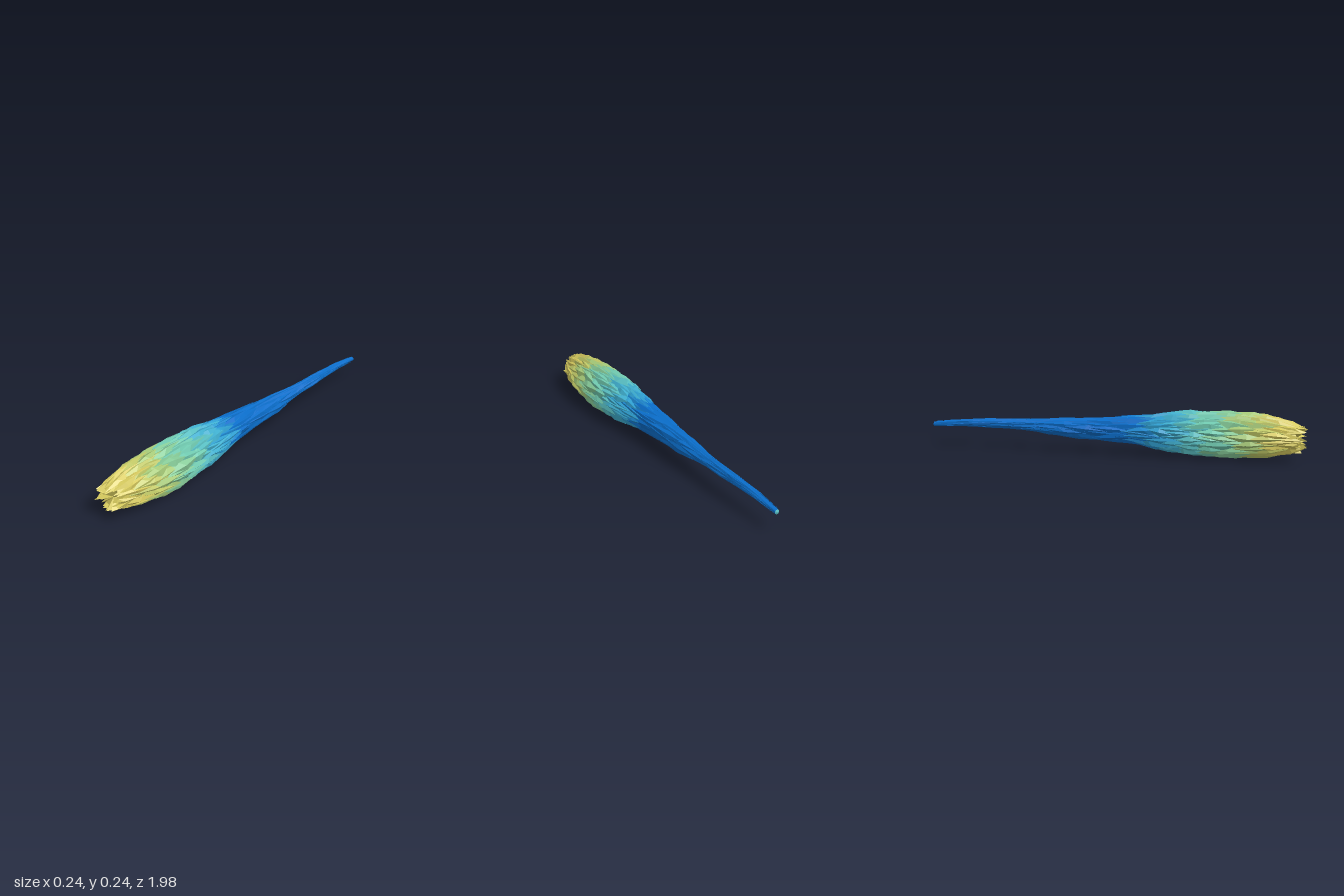
import * as THREE from 'three';

// Colour bands from nose to tail: lower z limit, name, colour
const BANDS = [
  [0.82, 'straw yellow', 0xd6ca5e],
  [0.74, 'olive yellow', 0xc0c866],
  [0.65, 'leaf green', 0xa6ca78],
  [0.56, 'pale green', 0x86cb98],
  [0.46, 'mint', 0x70cab0],
  [0.38, 'aqua', 0x58bec2],
  [0.28, 'cyan', 0x40b0d0],
  [0.21, 'sky blue', 0x2f9fd0],
  [0.14, 'azure', 0x1e88d0],
  [-9, 'deep blue', 0x0a6ecb],
];
const AQUA = 5;

// Spine: z, centre x, centre y, radius
const SPINE = [
  [1.0, -0.015, 0.12, 0.045], [0.95, -0.012, 0.12, 0.066], [0.85, -0.005, 0.122, 0.09],
  [0.75, 0, 0.123, 0.104], [0.6, 0, 0.121, 0.113], [0.4, -0.004, 0.123, 0.106],
  [0.25, -0.006, 0.123, 0.089], [0.12, -0.004, 0.126, 0.067], [0, -0.008, 0.123, 0.06],
  [-0.2, -0.006, 0.123, 0.05], [-0.34, -0.009, 0.126, 0.038], [-0.42, -0.007, 0.13, 0.027],
  [-0.6, -0.005, 0.132, 0.025], [-0.8, -0.014, 0.129, 0.018], [-1.0, -0.015, 0.113, 0.013],
];

function seeded(seed) {
  return () => {
    seed = (seed * 1664525 + 1013904223) % 4294967296;
    return seed / 4294967296;
  };
}

function spineAt(z) {
  let i = 0;
  while (i < SPINE.length - 2 && z < SPINE[i + 1][0]) i++;
  const a = SPINE[i], b = SPINE[i + 1];
  const t = THREE.MathUtils.clamp((a[0] - z) / (a[0] - b[0]), 0, 1);
  return a.map((v, k) => THREE.MathUtils.lerp(v, b[k], t));
}

// Point at a given angle and relative radius around the spine
function around(z, angle, scale) {
  const [, cx, cy, r] = spineAt(z);
  return [cx + Math.cos(angle) * r * scale, cy + Math.sin(angle) * r * scale, z];
}

const bandAt = (z) => BANDS.findIndex((b) => z >= b[0]);

export function createModel() {
  const rand = seeded(77);
  const model = new THREE.Group();
  model.name = 'featheredTail';
  const materials = BANDS.map(([, name, color]) => {
    const m = new THREE.MeshStandardMaterial({ color, flatShading: true, side: THREE.DoubleSide });
    m.name = name;
    return m;
  });

  // Builds one mesh per colour band from lists of triangles
  function addBands(name, lists) {
    const group = new THREE.Group();
    group.name = name;
    lists.forEach((points, i) => {
      if (!points.length) return;
      const geo = new THREE.BufferGeometry();
      geo.setAttribute('position', new THREE.Float32BufferAttribute(points.flat(), 3));
      geo.computeVertexNormals();
      const mesh = new THREE.Mesh(geo, materials[i]);
      mesh.name = name + ' ' + BANDS[i][1];
      group.add(mesh);
    });
    model.add(group);
  }

  // Faceted core under the feathers
  const SIDES = 13, STEPS = 36;
  const core = BANDS.map(() => []);
  const rings = [];
  for (let j = 0; j <= STEPS; j++) {
    const z = THREE.MathUtils.lerp(0.94, -0.98, j / STEPS);
    rings.push(Array.from({ length: SIDES }, (_, i) =>
      around(z, ((i + (j % 2) / 2) / SIDES) * Math.PI * 2, 0.84 + rand() * 0.1)));
  }
  for (let j = 0; j < STEPS; j++) {
    const f = rings[j], b = rings[j + 1];
    const list = core[bandAt((f[0][2] + b[0][2]) / 2)];
    for (let i = 0; i < SIDES; i++) {
      const n = (i + 1) % SIDES;
      if (j % 2) list.push(b[i], b[n], f[i], b[n], f[n], f[i]);
      else list.push(b[i], f[n], f[i], b[i], b[n], f[n]);
    }
  }
  // Closed ends
  const nose = [-0.005, 0.115, 0.93], end = [-0.015, 0.113, -0.985];
  for (let i = 0; i < SIDES; i++) {
    const n = (i + 1) % SIDES;
    core[0].push(nose, rings[0][i], rings[0][n]);
    core[AQUA].push(end, rings[STEPS][n], rings[STEPS][i]);
  }
  addBands('core', core);

  // Overlapping folded, pointed feathers
  const feathers = BANDS.map(() => []);
  function feather(z, angle, length, halfAngle, lift) {
    const front = Math.min(z + length * 0.55, 0.955 + rand() * 0.04);
    const back = Math.max(z - length * 0.5, -0.99);
    const twist = (rand() - 0.5) * halfAngle;
    const mid = around(z, angle, lift + 0.05);
    const F = around(front, angle + twist, 0.93 + rand() * 0.08);
    const B = around(back, angle - twist, lift);
    const L = around(z + (rand() - 0.5) * length * 0.4, angle - halfAngle, lift - 0.08);
    const R = around(z + (rand() - 0.5) * length * 0.4, angle + halfAngle, lift - 0.08);
    feathers[bandAt(z)].push(mid, R, F, mid, F, L, mid, L, B, mid, B, R);
  }
  // Dense head rows
  for (let z = 0.91, row = 0; z > 0.12; z -= 0.055, row++) {
    const count = 14;
    for (let i = 0; i < count; i++) {
      const angle = ((i + (row % 2) / 2 + (rand() - 0.5) * 0.5) / count) * Math.PI * 2;
      feather(z + (rand() - 0.5) * 0.05, angle, 0.13 + rand() * 0.1,
        0.2 + rand() * 0.12, 0.96 + rand() * 0.11);
    }
  }
  // Long, sparse tail rows
  for (let z = 0.1, row = 0; z > -0.9; z -= 0.085, row++) {
    const count = z > -0.35 ? 9 : 6;
    for (let i = 0; i < count; i++) {
      const angle = ((i + (row % 2) / 2 + (rand() - 0.5) * 0.5) / count) * Math.PI * 2;
      feather(z + (rand() - 0.5) * 0.05, angle, 0.2 + rand() * 0.14,
        0.3 + rand() * 0.2, 0.95 + rand() * 0.17);
    }
  }
  addBands('feathers', feathers);

  // Pointed petals folding from the nose centre out to the rim
  const petals = BANDS.map(() => []);
  for (let i = 0; i < 13; i++) {
    const angle = ((i + rand() * 0.5) / 13) * Math.PI * 2;
    const tip = around(0.965 + rand() * 0.03, angle, 0.95 + rand() * 0.35);
    const L = around(0.87, angle - 0.28, 0.95), R = around(0.87, angle + 0.28, 0.95);
    petals[0].push(L, R, tip, nose, L, tip, nose, tip, R);
  }
  addBands('nosePetals', petals);

  // Rest on the ground, centred
  const box = new THREE.Box3().setFromObject(model);
  const c = box.getCenter(new THREE.Vector3());
  model.position.set(-c.x, -box.min.y, -c.z);
  return model;
}
